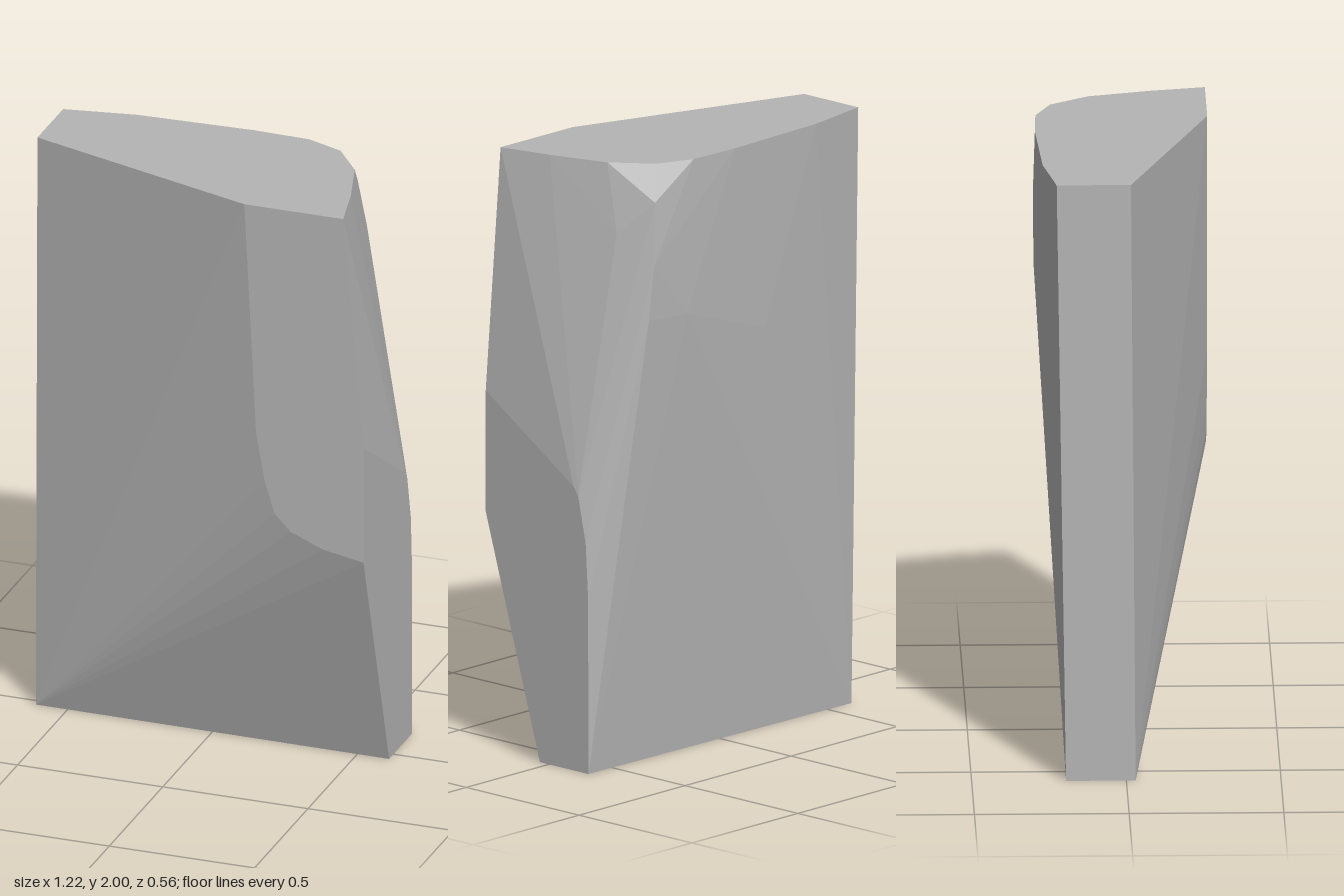
import * as THREE from 'three';
import { ConvexGeometry } from 'three/addons/geometries/ConvexGeometry.js';

export function createModel() {
  const group = new THREE.Group();
  group.name = 'facetedBlock';
  const stone = new THREE.MeshStandardMaterial({ color: 0xb4b4b4 });
  stone.name = 'plain grey';

  // flat top outline at y = 2, as [x, z]
  const top = [
    [-0.61, 0.015], [0.2, 0.28], [0.54, 0.28], [0.5, 0.1], [0.44, -0.1],
    [0.345, -0.225], [0.22, -0.275], [0.03, -0.281], [-0.37, -0.265], [-0.61, -0.225],
  ].map(([x, z]) => [x, 2, z]);

  // flat base outline at y = 0, as [x, z]
  const base = [
    [-0.61, 0.03], [0.61, 0.04], [0.61, -0.175], [-0.61, -0.195],
  ].map(([x, z]) => [x, 0, z]);

  // rounded lower corner of the flat front panel, as [x, y]
  const front = [
    [0.24, 1.2], [0.27, 1.03], [0.305, 0.92], [0.36, 0.865], [0.47, 0.82], [0.61, 0.795], [0.61, 1.2],
  ].map(([x, y]) => [x, y, 0.28]);

  // back edge of the flat side panel, as [y, z]
  const side = [
    [0.95, -0.11], [0.92, -0.13], [0.77, -0.163], [0.58, -0.174],
  ].map(([y, z]) => [0.61, y, z]);

  // worn ridge and bulging back
  const back = [
    [0.46, 1.78, -0.16], [0.39, 1.885, -0.264], [0.41, 1.68, -0.279],
    [0.43, 1.5, -0.274], [0.255, 1.49, -0.28], [-0.12, 1.37, -0.272],
  ];

  const points = [...top, ...base, ...front, ...side, ...back].map((p) => new THREE.Vector3(...p));
  const block = new THREE.Mesh(new ConvexGeometry(points), stone);
  block.name = 'chippedSlab';
  group.add(block);
  return group;
}
